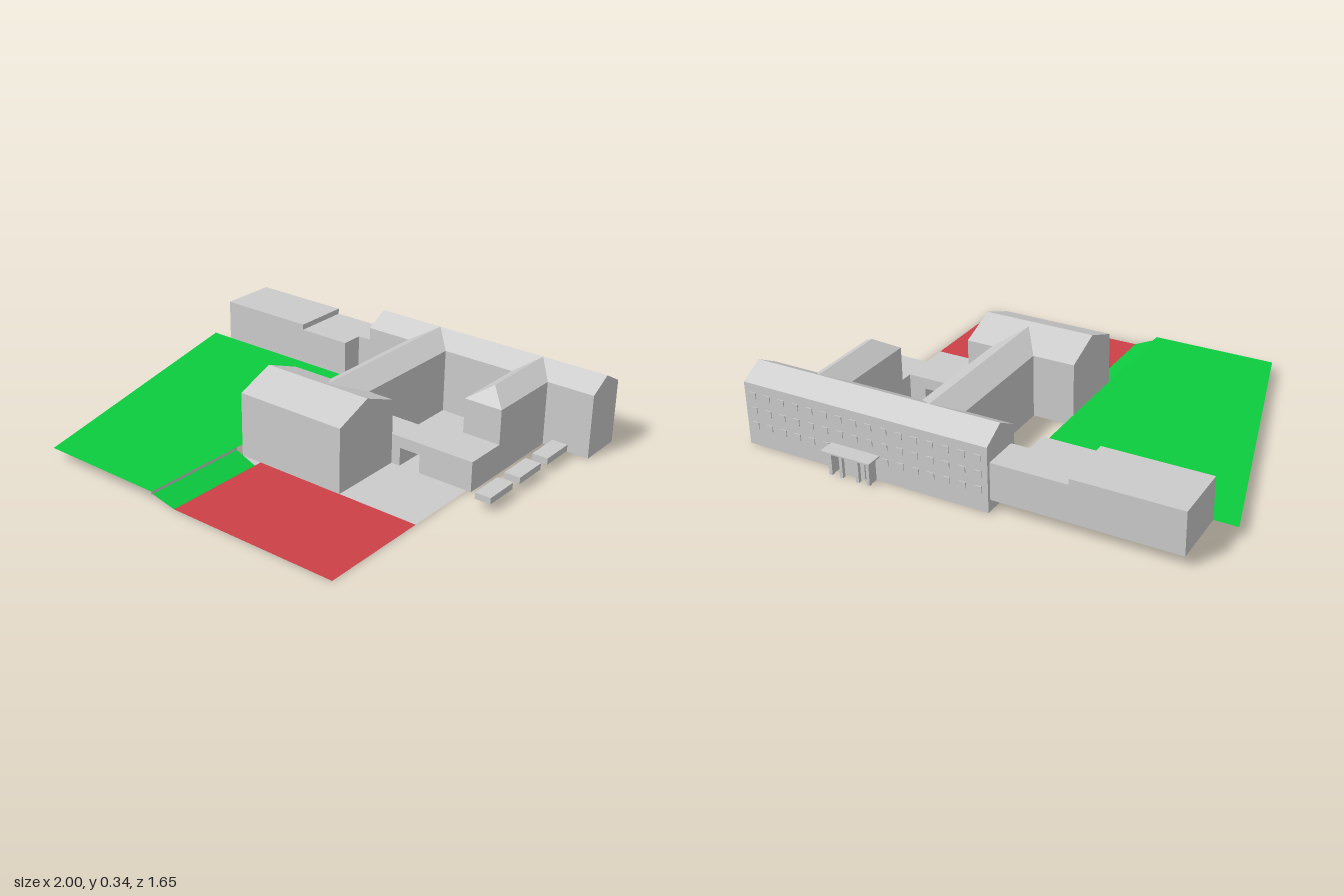
import * as THREE from 'three';

const grey = new THREE.MeshStandardMaterial({ color: 0xcccccc, flatShading: true, side: THREE.DoubleSide });
const green = new THREE.MeshStandardMaterial({ color: 0x0ccc3f, side: THREE.DoubleSide });
const red = new THREE.MeshStandardMaterial({ color: 0xcc4048, side: THREE.DoubleSide });

function add(parent, name, geometry, material = grey) {
  const mesh = new THREE.Mesh(geometry, material);
  mesh.name = name;
  parent.add(mesh);
  return mesh;
}

// Box given by its limits on each axis
function box(parent, name, x0, x1, y0, y1, z0, z1) {
  const g = new THREE.BoxGeometry(x1 - x0, y1 - y0, z1 - z0);
  g.translate((x0 + x1) / 2, (y0 + y1) / 2, (z0 + z1) / 2);
  return add(parent, name, g);
}

// Flat ground area from [x, z] corners
function area(parent, name, y, corners, material) {
  const shape = new THREE.Shape(corners.map(([x, z]) => new THREE.Vector2(x, -z)));
  const g = new THREE.ShapeGeometry(shape);
  g.rotateX(-Math.PI / 2);
  g.translate(0, y, 0);
  return add(parent, name, g, material);
}

// Rectangular walls with a pitched roof along z; the ridge may be shorter or longer than the eaves
function gabled(parent, name, halfWidth, eave, ridge, z0, z1, r0 = z0, r1 = z1) {
  const group = new THREE.Group();
  group.name = name;
  parent.add(group);
  box(group, name + 'Walls', -halfWidth, halfWidth, 0, eave, z0, z1);
  const tri = new THREE.Shape([
    new THREE.Vector2(-halfWidth, eave), new THREE.Vector2(halfWidth, eave), new THREE.Vector2(0, ridge)]);
  const g = new THREE.ExtrudeGeometry(tri, { depth: z1 - z0, bevelEnabled: false });
  g.translate(0, 0, z0);
  const p = g.attributes.position;
  const mid = (z0 + z1) / 2;
  for (let i = 0; i < p.count; i++) {
    if (p.getY(i) > eave + 0.01) p.setZ(i, p.getZ(i) < mid ? r0 : r1);
  }
  g.computeVertexNormals();
  add(group, name + 'Roof', g);
  return group;
}

export function createModel() {
  const model = new THREE.Group();
  model.name = 'schoolComplex';

  // Long rear building and front hall, both with ridges along x
  const rear = gabled(model, 'rearBuilding', 0.1, 0.28, 0.335, -0.12, 0.995);
  rear.rotation.y = Math.PI / 2;
  rear.position.z = -0.655;
  const hall = gabled(model, 'frontHall', 0.1675, 0.28, 0.345, -0.097, 0.405);
  hall.rotation.y = Math.PI / 2;
  hall.position.z = 0.148;

  // Wings running forward from the rear building
  gabled(model, 'middleWing', 0.098, 0.28, 0.335, -0.555, -0.02, -0.655, 0.12).position.x = 0.188;
  gabled(model, 'sideWing', 0.085, 0.28, 0.335, -0.555, -0.21, -0.655, -0.29).position.x = 0.7;

  // Low connecting block with a passage to the courtyard
  box(model, 'lowBlockLeft', 0.285, 0.445, 0, 0.13, -0.155, -0.02);
  box(model, 'lowBlockLintel', 0.445, 0.54, 0.08, 0.13, -0.155, -0.02);
  box(model, 'lowBlockRight', 0.54, 0.785, 0, 0.13, -0.155, -0.02);
  box(model, 'lowBlockLink', 0.615, 0.785, 0, 0.13, -0.21, -0.155);

  // Flat-roofed annexes on the right-hand side
  box(model, 'tallAnnex', -0.9, -0.445, 0.05, 0.235, -0.74, -0.48);
  box(model, 'lowAnnex', -0.445, -0.2, 0.05, 0.21, -0.74, -0.48);
  box(model, 'annexLink', -0.2, -0.12, 0.05, 0.21, -0.74, -0.58);

  // Ground areas
  area(model, 'courtyard', 0, [[0.285, -0.555], [0.285, -0.02], [0.615, -0.02], [0.615, -0.555]], grey);
  area(model, 'pavedYard', 0, [[0.405, -0.02], [0.405, 0.315], [0.765, 0.315], [0.765, -0.02]], grey);
  area(model, 'slopeLanding', 0, [[-0.097, 0.315], [-0.097, 0.35], [0, 0.35], [0, 0.315]], grey);
  area(model, 'sportsCourt', 0, [[0, 0.315], [0, 0.805], [0.765, 0.805], [0.765, 0.315]], red);
  area(model, 'lawn', 0.05, [[-1, -0.48], [-0.66, 0.825], [-0.097, 0.825], [-0.097, -0.48],
    [-0.12, -0.48], [-0.12, -0.58], [-0.2, -0.58], [-0.2, -0.48]], green);

  // Grass bank falling from the lawn to the court, with a small kerb above it
  const bank = area(model, 'grassBank', 0, [[-0.097, 0.35], [-0.097, 0.82], [0, 0.805], [0, 0.35]], green);
  const bp = bank.geometry.attributes.position;
  for (let i = 0; i < bp.count; i++) if (bp.getX(i) < -0.05) bp.setY(i, 0.038);
  bank.geometry.computeVertexNormals();
  const kerb = new THREE.PlaneGeometry(0.475, 0.012);
  kerb.rotateY(Math.PI / 2);
  kerb.translate(-0.097, 0.044, 0.5875);
  add(model, 'lawnKerb', kerb);

  // Three low slabs beside the side wing
  for (let i = 0; i < 3; i++) {
    const z = -0.505 + i * 0.206;
    box(model, 'sideSlab', 0.855, 0.925, 0.032, 0.06, z, z + 0.155);
  }

  // Rows of windows along the rear wall, leaving room for the porch
  for (let row = 0; row < 3; row++) {
    for (let i = 0; i < 16; i++) {
      const x = -0.08 + i * 0.069;
      if (row === 0 && x > 0.34 && x < 0.6) continue;
      const y = 0.08 + row * 0.067;
      box(model, 'rearWindow', x - 0.014, x + 0.014, y, y + 0.028, -0.759, -0.754);
    }
  }

  // Rear entrance porch
  const porch = new THREE.Group();
  porch.name = 'rearPorch';
  model.add(porch);
  box(porch, 'porchCanopy', 0.36, 0.585, 0.107, 0.113, -0.827, -0.755);
  box(porch, 'porchDoors', 0.42, 0.525, 0, 0.107, -0.775, -0.755);
  for (const x of [0.385, 0.435, 0.51, 0.56]) {
    box(porch, 'porchPillar', x - 0.007, x + 0.007, 0, 0.107, -0.805, -0.79);
  }
  for (const x of [0.385, 0.56]) {
    box(porch, 'porchSideWall', x - 0.004, x + 0.004, 0, 0.107, -0.79, -0.755);
  }

  return model;
}
